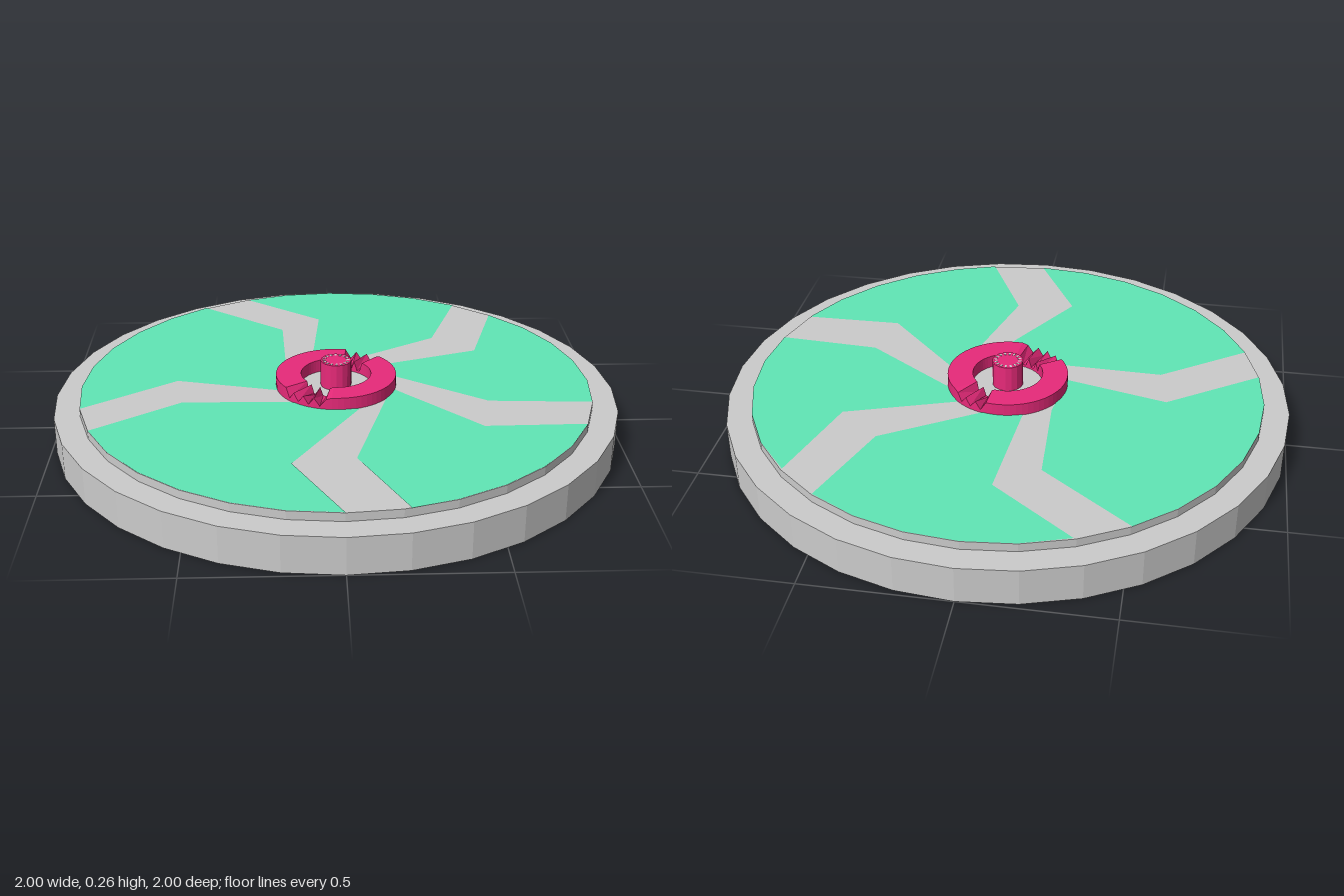
import * as THREE from 'three';

const grey = new THREE.MeshStandardMaterial({ color: 0xcccccc, flatShading: true });
const green = new THREE.MeshStandardMaterial({ color: 0x60e6b6, flatShading: true });
const pink = new THREE.MeshStandardMaterial({ color: 0xe82a7a, flatShading: true });

const SIDES = 32, DECK_R = 0.91, DECK_Y = 0.16;

// Both edges of each bent spoke as [x, z]: hub, knee, rim; listed clockwise from above
const spokes = [
  { start: [[0.21, -0.06], [0.53, 0.16], [0.89, 0.18]], end: [[0.2, 0.05], [0.49, 0.355], [0.84, 0.35]] },
  { start: [[0.17, 0.14], [0.05, 0.57], [0.2, 0.89]], end: [[0.075, 0.21], [-0.16, 0.6], [0, 0.91]] },
  { start: [[-0.17, 0.15], [-0.54, 0.14], [-0.84, 0.35]], end: [[-0.21, 0.05], [-0.57, -0.04], [-0.89, 0.18]] },
  { start: [[-0.18, -0.155], [-0.195, -0.51], [-0.51, -0.755]], end: [[-0.085, -0.2], [-0.05, -0.615], [-0.34, -0.84]] },
  { start: [[0.06, -0.21], [0.385, -0.41], [0.505, -0.755]], end: [[0.155, -0.155], [0.535, -0.283], [0.64, -0.64]] },
];

function add(group, name, geometry, material, y = 0) {
  const mesh = new THREE.Mesh(geometry, material);
  mesh.name = name;
  mesh.position.y = y;
  group.add(mesh);
  return mesh;
}

// Green field between the end edge of one spoke and the start edge of the next
function panelGeometry(from, to) {
  const a0 = Math.atan2(from.end[2][1], from.end[2][0]);
  let a1 = Math.atan2(to.start[2][1], to.start[2][0]);
  if (a1 < a0) a1 += Math.PI * 2;
  const step = (Math.PI * 2) / SIDES;
  const rim = [];
  for (let k = Math.ceil(a0 / step + 0.05); k * step < a1 - 0.01; k++) {
    rim.push([DECK_R * Math.cos(k * step), DECK_R * Math.sin(k * step)]);
  }
  const outline = [...from.end, ...rim, ...[...to.start].reverse()];
  const shape = new THREE.Shape(outline.map(([x, z]) => new THREE.Vector2(x, -z)));
  return new THREE.ShapeGeometry(shape).rotateX(-Math.PI / 2);
}

// Rectangular ring lofted around the axis, with two jagged broken stretches
function brokenRingGeometry(inner, outer, y0, y1) {
  const n = 64, positions = [], index = [];
  const gaps = [[100, 145], [282, 318]];
  for (let i = 0; i < n; i++) {
    const deg = (i / n) * 360, a = THREE.MathUtils.degToRad(deg);
    const broken = gaps.some(([s, e]) => deg > s && deg < e);
    const outTop = broken ? y0 + (y1 - y0) * (i % 2 ? 0.25 : 0.85) : y1;
    const inTop = broken ? y0 + (y1 - y0) * (i % 3 ? 0.2 : 0.9) : y1;
    for (const [r, y] of [[outer, y0], [outer, outTop], [inner, inTop], [inner, y0]]) {
      positions.push(r * Math.cos(a), y, r * Math.sin(a));
    }
    for (let j = 0; j < 4; j++) {
      const m = ((i + 1) % n) * 4, k = (j + 1) % 4;
      const p = i * 4 + j, q = i * 4 + k, s = m + k, t = m + j;
      index.push(p, q, s, p, s, t);
    }
  }
  const geometry = new THREE.BufferGeometry();
  geometry.setAttribute('position', new THREE.Float32BufferAttribute(positions, 3));
  geometry.setIndex(index);
  const flat = geometry.toNonIndexed();
  flat.computeVertexNormals();
  return flat;
}

export function createModel() {
  const model = new THREE.Group();
  model.name = 'spokedDisc';

  // Stepped disc
  add(model, 'base', new THREE.CylinderGeometry(1, 1, 0.13, SIDES), grey, 0.065);
  add(model, 'deck', new THREE.CylinderGeometry(DECK_R, DECK_R, 0.03, SIDES), grey, DECK_Y - 0.015);

  // Fields between the bent spokes
  const panels = new THREE.Group();
  panels.name = 'panels';
  model.add(panels);
  spokes.forEach((spoke, i) => {
    const next = spokes[(i + 1) % spokes.length];
    add(panels, 'panel' + (i + 1), panelGeometry(spoke, next), green, DECK_Y + 0.002);
  });

  // Hub ring and central pin
  add(model, 'hubRing', brokenRingGeometry(0.125, 0.215, DECK_Y, 0.205), pink);
  add(model, 'pin', new THREE.CylinderGeometry(0.055, 0.055, 0.095, 16), pink, 0.2075);

  // Ring of small pale ticks on the pin top
  const ticks = new THREE.Group();
  ticks.name = 'pinTicks';
  model.add(ticks);
  for (let i = 0; i < 16; i++) {
    const a = (i / 16) * Math.PI * 2;
    const tick = add(ticks, 'tick', new THREE.BoxGeometry(0.012, 0.002, 0.007), grey, 0.255);
    tick.position.x = 0.043 * Math.cos(a);
    tick.position.z = 0.043 * Math.sin(a);
    tick.rotation.y = -a;
  }
  return model;
}
